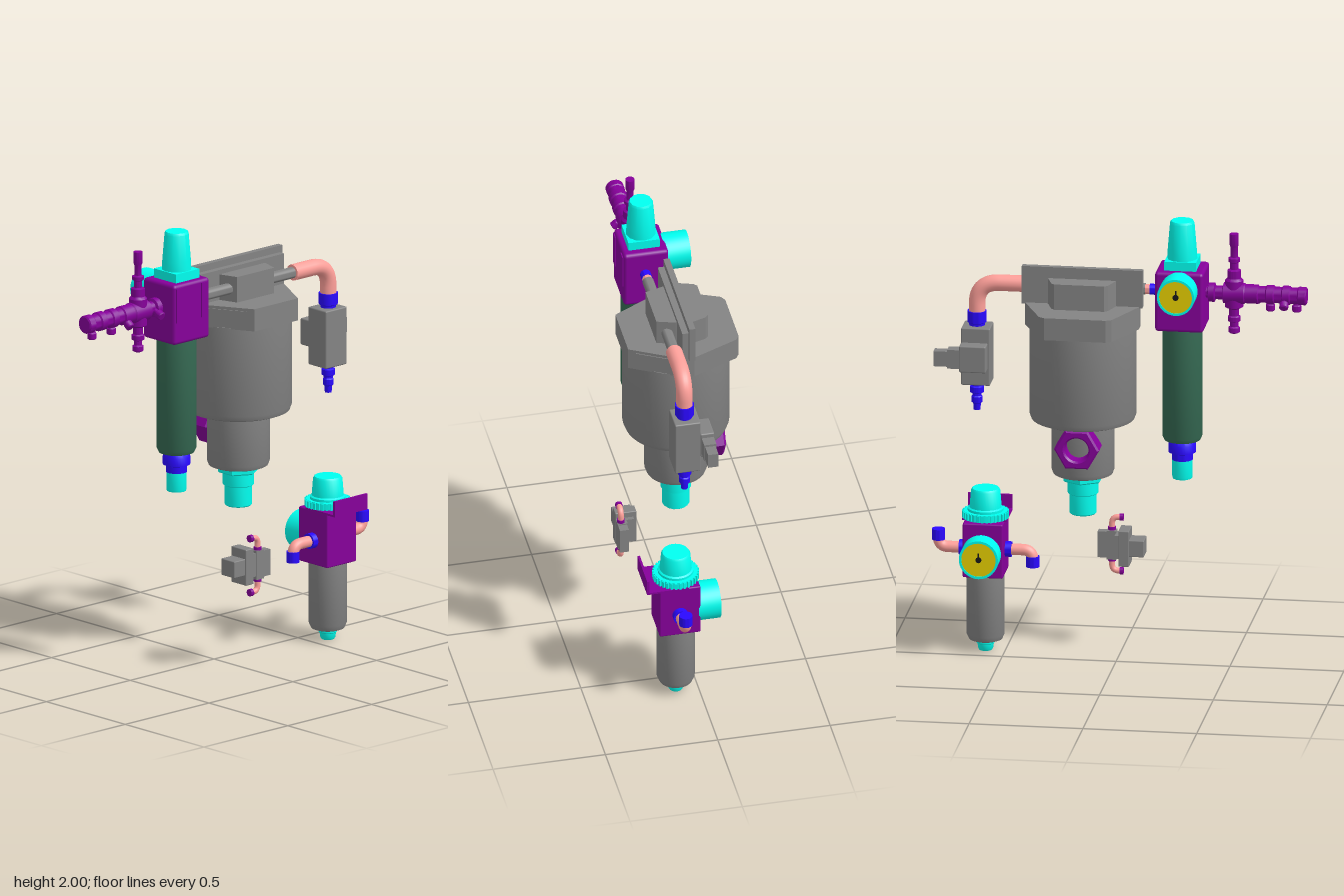
import * as THREE from 'three';
import { toCreasedNormals } from 'three/addons/utils/BufferGeometryUtils.js';
import { RoundedBoxGeometry } from 'three/addons/geometries/RoundedBoxGeometry.js';

const mat = (color) => new THREE.MeshStandardMaterial({ color, side: THREE.DoubleSide });
const GREY = mat(0x848484), PURPLE = mat(0x86009a), CYAN = mat(0x00fff0), BLUE = mat(0x2a08ff);
const PINK = mat(0xffa09a), GREEN = mat(0x366b54), YELLOW = mat(0xe6d000), DARK = mat(0x181818);

function add(parent, name, geo, material) {
  const mesh = new THREE.Mesh(geo, material);
  mesh.name = name;
  parent.add(mesh);
  return mesh;
}

function group(parent, name) {
  const g = new THREE.Group();
  g.name = name;
  parent.add(g);
  return g;
}

// Box from its minimum and maximum corners, optionally rounded
function box(parent, name, material, a, b, round = 0) {
  const s = a.map((v, i) => b[i] - v);
  const geo = round ? new RoundedBoxGeometry(...s, 2, round) : new THREE.BoxGeometry(...s);
  const m = add(parent, name, geo, material);
  m.position.set(...a.map((v, i) => (v + b[i]) / 2));
  return m;
}

// Turned solid: profile of [radius, height] along +y, +x, -x or -z from an origin
const TURN = { y: [0, 0, 0], x: [0, 0, -Math.PI / 2], '-x': [0, 0, Math.PI / 2], '-z': [-Math.PI / 2, 0, 0] };
function turned(parent, name, material, profile, at, axis = 'y', sides = 32) {
  const first = profile[0], last = profile[profile.length - 1];
  const pts = [[0, first[1]], ...profile, [0, last[1]]].map(([r, h]) => new THREE.Vector2(r, h));
  const m = add(parent, name, toCreasedNormals(new THREE.LatheGeometry(pts, sides), 0.6), material);
  m.position.set(...at);
  m.rotation.set(...TURN[axis]);
  return m;
}
const rod = (parent, name, material, r, length, at, axis, sides) =>
  turned(parent, name, material, [[r, 0], [r, length]], at, axis, sides);

// Pipe with one rounded corner
function elbow(parent, name, a, corner, b, bend, r) {
  const [p, c, q] = [a, corner, b].map((v) => new THREE.Vector3(...v));
  const s = c.clone().add(p.clone().sub(c).setLength(bend));
  const e = c.clone().add(q.clone().sub(c).setLength(bend));
  const path = new THREE.CurvePath();
  path.add(new THREE.LineCurve3(p, s));
  path.add(new THREE.QuadraticBezierCurve3(s, c, e));
  path.add(new THREE.LineCurve3(e, q));
  add(parent, name, new THREE.TubeGeometry(path, 40, r, 20), PINK);
}

// Plan outline of [x, z] raised from y0 to y1
function prism(parent, name, material, outline, y0, y1) {
  const shape = new THREE.Shape(outline.map(([x, z]) => new THREE.Vector2(x, -z)));
  const geo = new THREE.ExtrudeGeometry(shape, { depth: y1 - y0, bevelEnabled: false });
  geo.rotateX(-Math.PI / 2).translate(0, y0, 0);
  add(parent, name, geo, material);
}

// Pressure gauge facing the back
function gauge(parent, r, depth, at) {
  const g = group(parent, 'gauge');
  const rim = r * 0.88;
  turned(g, 'gaugeCase', CYAN, [[r, 0], [r, depth], [rim, depth], [rim, depth - 0.008]], at, '-z', 40);
  const [x, y] = at, z = at[2] - depth;
  rod(g, 'gaugeDial', YELLOW, rim, 0.004, [x, y, z + 0.008], '-z', 40);
  rod(g, 'gaugeHub', DARK, 0.013, 0.006, [x, y, z + 0.005], '-z', 16);
  box(g, 'gaugeNeedle', DARK, [x - 0.003, y, z], [x + 0.003, y + 0.03, z + 0.005]);
}

function upperRegulator(root) {
  const g = group(root, 'upperRegulator'), x = -0.282, z = 0.062;
  box(g, 'regulatorBlock', PURPLE, [-0.388, 1.52, -0.04], [-0.175, 1.79, 0.16], 0.015);
  for (const s of [-1, 1]) {
    box(g, 'blockRib', PURPLE, [x + s * 0.075 - 0.02, 1.62, 0.15], [x + s * 0.075 + 0.02, 1.775, 0.165]);
  }
  box(g, 'knobBase', CYAN, [x - 0.07, 1.785, z - 0.07], [x + 0.07, 1.83, z + 0.07]);
  turned(g, 'knob', CYAN, [[0.066, 1.83], [0.064, 1.87], [0.054, 1.99], [0.049, 2]], [x, 0, z], 'y', 12);
  gauge(g, 0.082, 0.115, [x, 1.71, -0.03]);
  turned(g, 'bowl', GREEN, [[0.06, 1], [0.078, 1.006], [0.087, 1.025], [0.087, 1.52]], [x, 0, z]);
  turned(g, 'drainCollar', BLUE,
    [[0.046, 0.915], [0.046, 0.945], [0.06, 0.95], [0.06, 0.985], [0.05, 1.005]], [x, 0, z]);
  turned(g, 'drain', CYAN, [[0.043, 0.83], [0.045, 0.84], [0.045, 0.92]], [x, 0, z], 'y', 12);
}

function inletManifold(root) {
  const g = group(root, 'inletManifold'), y = 1.68, z = 0.06;
  turned(g, 'manifoldPipe', PURPLE, [
    [0.034, -0.83], [0.04, -0.825], [0.04, -0.795], [0.036, -0.79], [0.036, -0.76], [0.042, -0.755],
    [0.042, -0.725], [0.036, -0.72], [0.036, -0.69], [0.042, -0.685], [0.042, -0.655], [0.036, -0.65],
    [0.036, -0.62], [0.042, -0.615], [0.042, -0.56], [0.046, -0.555], [0.046, -0.465], [0.03, -0.46],
    [0.03, -0.43], [0.042, -0.425], [0.042, -0.4], [0.025, -0.395], [0.025, -0.38]], [0, y, z], 'x', 24);
  turned(g, 'valveStem', PURPLE, [
    [0.018, 1.5], [0.025, 1.505], [0.025, 1.525], [0.018, 1.53], [0.018, 1.55], [0.028, 1.555], [0.028, 1.575],
    [0.022, 1.58], [0.022, 1.61], [0.04, 1.62], [0.04, 1.74], [0.03, 1.75], [0.03, 1.785], [0.018, 1.79],
    [0.018, 1.82], [0.026, 1.825], [0.026, 1.84], [0.016, 1.845], [0.016, 1.89], [0.02, 1.9], [0.02, 1.95]],
    [-0.51, 0, z], 'y', 20);
  // Small outlet nozzles, turned to alternate sides
  [[-0.785, 0], [-0.735, 0.9], [-0.67, 0], [-0.605, -0.9], [-0.43, -1.2]].forEach(([x, tilt]) => {
    const n = turned(g, 'outletNozzle', PURPLE, [[0.016, -0.072], [0.02, -0.068], [0.02, -0.045], [0.015, -0.04], [0.015, 0]],
      [x, y, z], 'y', 16);
    n.rotation.x = tilt;
  });
}

function mainSeparator(root) {
  const g = group(root, 'mainSeparator'), x = 0.145;
  turned(g, 'body', GREY, [
    [0.115, 0.85], [0.13, 0.856], [0.137, 0.875], [0.137, 1.1], [0.205, 1.1], [0.225, 1.108], [0.233, 1.13], [0.233, 1.53]],
    [x, 0, 0], 'y', 48);
  prism(g, 'head', GREY, [[-0.105, -0.03], [-0.015, -0.235], [0.01, -0.25], [0.28, -0.25], [0.305, -0.235],
    [0.395, -0.03], [0.395, 0.02], [0.275, 0.24], [0.015, 0.24], [-0.105, 0.02]], 1.525, 1.625);
  prism(g, 'headBoss', GREY, [[-0.005, -0.03], [0.02, -0.105], [0.035, -0.12], [0.255, -0.12], [0.27, -0.105],
    [0.295, -0.03], [0.28, 0.03], [0.255, 0.11], [0.035, 0.11], [0.01, 0.03]], 1.62, 1.74);
  box(g, 'mountingPlate', GREY, [-0.12, 1.62, -0.03], [0.41, 1.79, -0.003]);
  box(g, 'gasketPlate', GREY, [-0.105, 1.62, -0.003], [0.395, 1.76, 0.025]);
  // Shallow pads lying on the slanted front faces of the head
  for (const s of [-1, 1]) {
    const pad = box(g, 'headPad', GREY, [x + s * 0.19 - 0.09, 1.54, 0.126], [x + s * 0.19 + 0.09, 1.612, 0.134]);
    pad.rotation.y = s * Math.atan2(0.22, 0.12);
  }
  turned(g, 'drainNut', CYAN, [[0.085, 0.82], [0.092, 0.826], [0.092, 0.856]], [x, 0, 0], 'y', 6);
  turned(g, 'drain', CYAN, [[0.055, 0.67], [0.06, 0.675], [0.06, 0.76], [0.068, 0.765], [0.068, 0.83]],
    [x, 0, 0], 'y', 16);

  // Six-sided port on the back with a round bore
  const hex = new THREE.Shape(Array.from({ length: 6 }, (_, i) =>
    new THREE.Vector2(0.09 * Math.cos((i * Math.PI) / 3), 0.09 * Math.sin((i * Math.PI) / 3))));
  hex.holes.push(new THREE.Path().absarc(0, 0, 0.06, 0, Math.PI * 2, true));
  const geo = new THREE.ExtrudeGeometry(hex, {
    depth: 0.085, bevelSize: 0.008, bevelThickness: 0.01, bevelSegments: 1, curveSegments: 24 });
  add(g, 'backPort', geo, PURPLE).position.set(x, 1.015, -0.195);
}

function outletLine(root) {
  const g = group(root, 'outletLine'), y = 1.68, z = 0.065, x = 0.62;
  rod(g, 'blueCoupling', BLUE, 0.024, 0.04, [-0.18, y, z], 'x');
  rod(g, 'pinkSleeve', PINK, 0.022, 0.03, [-0.145, y, z], 'x');
  rod(g, 'inletRod', GREY, 0.025, 0.15, [-0.12, y, z], 'x');
  rod(g, 'outletRod', GREY, 0.025, 0.15, [0.265, y, z], 'x');
  rod(g, 'pipeCap', PINK, 0.035, 0.006, [0.405, y, z], 'x');
  elbow(g, 'outletPipe', [0.41, y, z], [x, y, z], [x, 1.54, z], 0.1, 0.036);
  turned(g, 'pipeCoupling', BLUE, [[0.034, 1.48], [0.034, 1.495], [0.042, 1.5], [0.042, 1.55]], [x, 0, z]);
  box(g, 'valveBody', GREY, [0.555, 1.225, 0.005], [0.682, 1.485, 0.12], 0.006);
  box(g, 'valveCoil', GREY, [0.565, 1.3, -0.055], [0.682, 1.42, 0.007], 0.006);
  box(g, 'valvePlugNeck', GREY, [0.68, 1.315, -0.052], [0.735, 1.4, 0.002]);
  box(g, 'valvePlug', GREY, [0.735, 1.322, -0.048], [0.795, 1.39, -0.002]);
  turned(g, 'outletNipple', BLUE, [[0.015, 1.1], [0.017, 1.13], [0.024, 1.135], [0.024, 1.16], [0.02, 1.165],
    [0.02, 1.175], [0.03, 1.18], [0.03, 1.205], [0.022, 1.21], [0.022, 1.23]], [x, 0, z], 'y', 20);
}

function lowerRegulator(root) {
  const g = group(root, 'lowerRegulator'), x = 0.587, z = 0.097, y = 0.46;
  box(g, 'regulatorBlock', PURPLE, [0.499, 0.35, 0.005], [0.675, 0.595, 0.187], 0.006);
  box(g, 'bracketPlate', PURPLE, [0.49, 0.594, 0.06], [0.685, 0.603, 0.243]);
  box(g, 'bracketLip', PURPLE, [0.49, 0.594, 0.235], [0.685, 0.665, 0.245]);
  rod(g, 'lockRing', CYAN, 0.095, 0.032, [x, 0.602, z], 'y', 40);
  for (let i = 0; i < 32; i++) {
    const a = (i / 32) * Math.PI * 2;
    const tooth = add(g, 'ringTooth', new THREE.BoxGeometry(0.012, 0.03, 0.01), CYAN);
    tooth.position.set(x + 0.096 * Math.cos(a), 0.618, z + 0.096 * Math.sin(a));
    tooth.rotation.y = -a;
  }
  turned(g, 'knob', CYAN, [[0.078, 0.63], [0.078, 0.645], [0.07, 0.65], [0.064, 0.725], [0.058, 0.735]], [x, 0, z]);
  gauge(g, 0.086, 0.1, [0.592, y, 0.012]);
  turned(g, 'bowl', GREY, [[0.055, 0.045], [0.073, 0.052], [0.083, 0.075], [0.083, 0.355]], [x, 0, z]);
  turned(g, 'drain', CYAN, [[0.028, 0], [0.033, 0.008], [0.036, 0.03], [0.041, 0.034], [0.041, 0.048]], [x, 0, z], 'y', 16);
  // Side elbows: the -x one turns down, the +x one turns up
  for (const s of [-1, 1]) {
    const ex = x + s * 0.207;
    rod(g, 'sideCoupling', BLUE, 0.034, 0.03, [x + s * 0.085, y, z], s > 0 ? 'x' : '-x');
    elbow(g, 'sideElbow', [x + s * 0.11, y, z], [ex, y, z], [ex, y + s * 0.06, z], 0.045, 0.025);
    rod(g, 'elbowEnd', BLUE, 0.029, 0.048, [ex, s > 0 ? 0.492 : 0.385, z]);
  }
}

function smallValve(root) {
  const g = group(root, 'smallValve'), z = 0.223;
  box(g, 'plug', GREY, [-0.1, 0.43, 0.15], [-0.03, 0.505, 0.235], 0.004);
  box(g, 'coil', GREY, [-0.035, 0.385, 0.145], [0.012, 0.547, 0.24], 0.004);
  box(g, 'coilNeck', GREY, [0.01, 0.415, 0.16], [0.03, 0.52, 0.235]);
  box(g, 'body', GREY, [0.028, 0.4, 0.197], [0.07, 0.53, 0.241]);
  box(g, 'bodyEnd', GREY, [0.068, 0.408, 0.2], [0.11, 0.525, 0.24]);
  for (const s of [-1, 1]) {
    const y = 0.466 + s * 0.122;
    elbow(g, 'valveElbow', [0.05, 0.466, z], [0.05, y, z], [0.012, y, z], 0.03, 0.013);
    rod(g, 'elbowTip', PURPLE, 0.016, 0.016, [0, y, z], 'x', 16);
    rod(g, 'elbowCollar', PURPLE, 0.017, 0.014, [0.05, 0.459 + s * 0.071, z], 'y', 16);
  }
}

export function createModel() {
  const root = new THREE.Group();
  root.name = 'airPreparationUnit';
  [upperRegulator, inletManifold, mainSeparator, outletLine, lowerRegulator, smallValve].forEach((build) => build(root));
  return root;
}
